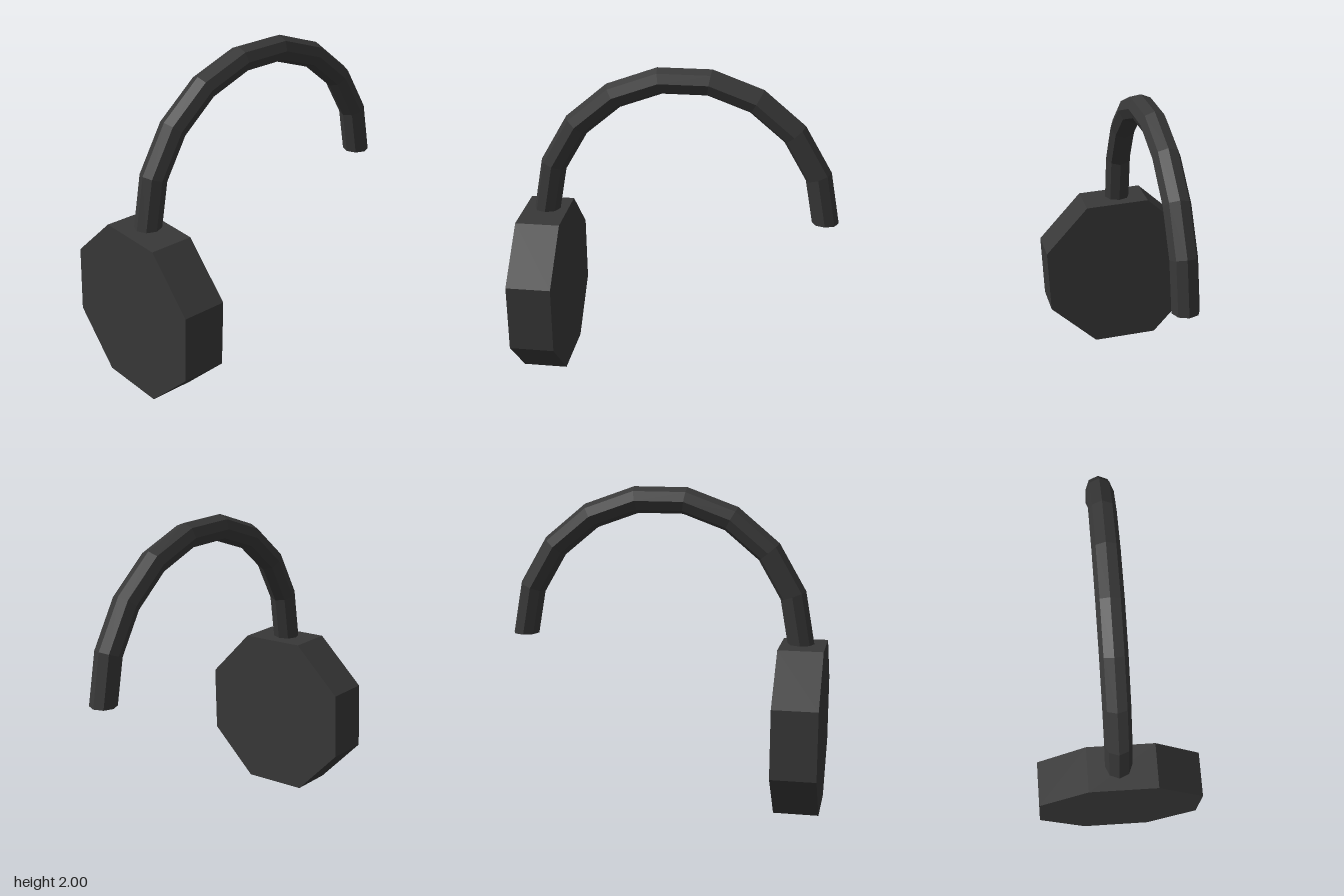
import * as THREE from 'three';

export function createModel() {
  const group = new THREE.Group();
  const material = new THREE.MeshStandardMaterial({ color: 0x383838, flatShading: true });

  const add = (geometry, name, x, y, z, parent = group) => {
    const mesh = new THREE.Mesh(geometry, material);
    mesh.name = name;
    mesh.position.set(x, y, z);
    parent.add(mesh);
    return mesh;
  };

  // Eight-sided disc, turned slightly about its axis
  const disc = new THREE.CylinderGeometry(0.556, 0.556, 0.28, 8);
  disc.rotateX(Math.PI / 2);
  disc.rotateZ(THREE.MathUtils.degToRad(20));
  add(disc, 'disc', 0, 0.524, 0.86);

  // Half-circle hook running from the top of the disc to the back
  const R = 0.882, r = 0.083;
  const hook = new THREE.Group();
  hook.name = 'hook';
  hook.position.set(0, 1.05, -0.035);
  group.add(hook);
  const arc = new THREE.TorusGeometry(R, r, 8, 9, Math.PI);
  arc.rotateY(-Math.PI / 2);
  add(arc, 'hookArc', 0, 0, 0, hook);

  // Flat ends of the hook, facing down
  for (const [name, z] of [['frontEndCap', R], ['backEndCap', -R]]) {
    const cap = new THREE.CircleGeometry(r, 8);
    cap.rotateX(Math.PI / 2);
    add(cap, name, 0, 0, z, hook);
  }
  return group;
}
